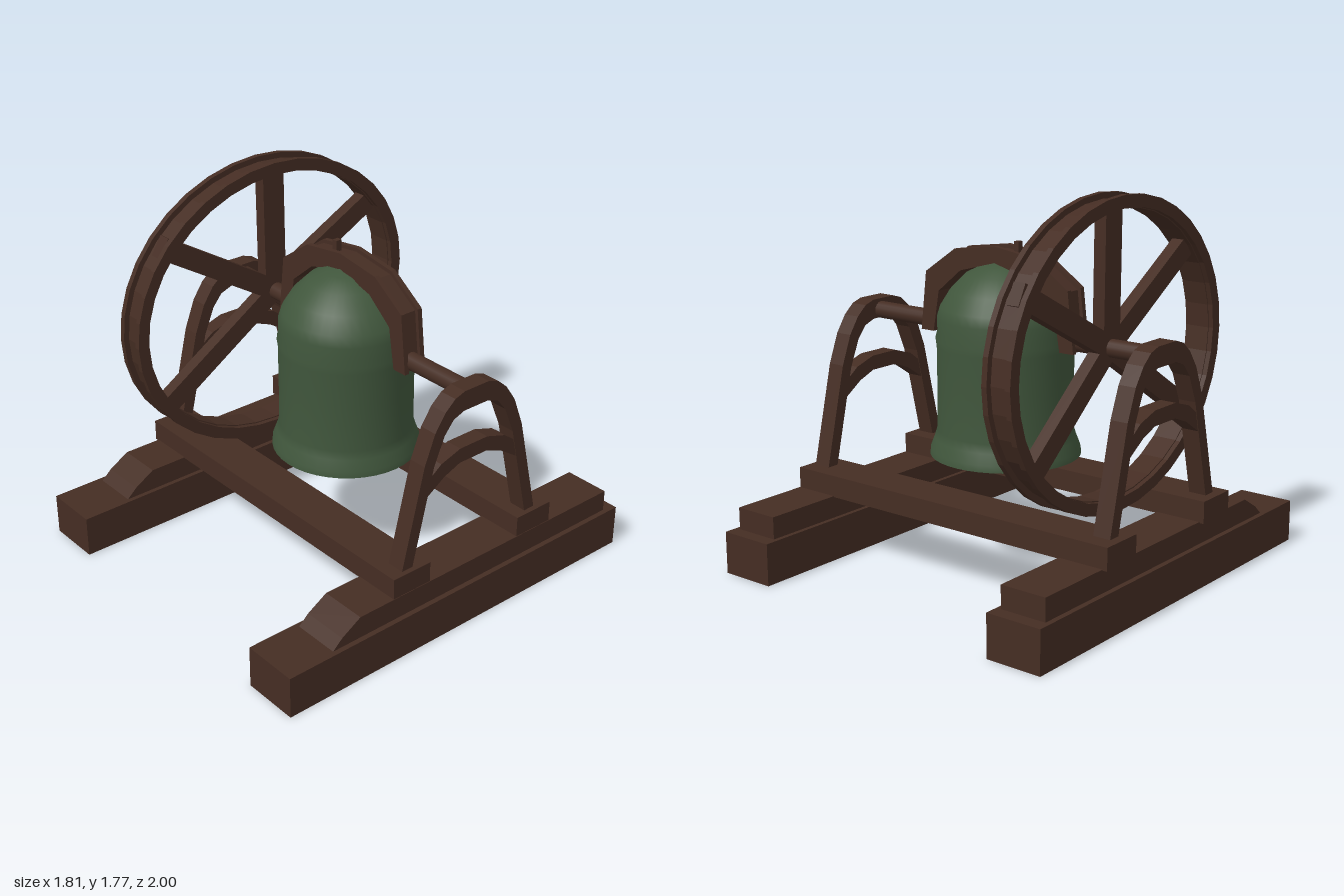
import * as THREE from 'three';

const brown = new THREE.MeshStandardMaterial({ color: 0x452d23 });
brown.name = 'dark brown';
const brownOpen = new THREE.MeshStandardMaterial({ color: 0x452d23, side: THREE.DoubleSide });
brownOpen.name = 'dark brown shell';
const green = new THREE.MeshStandardMaterial({ color: 0x40563c, side: THREE.DoubleSide });
green.name = 'bell green';

const AXLE_Y = 1.11, AXLE_Z = -0.08;

function add(parent, name, geo, mat = brown) {
  const mesh = new THREE.Mesh(geo, mat);
  mesh.name = name;
  parent.add(mesh);
  return mesh;
}

// Box given by its limits on each axis
function box(parent, name, [x0, x1], [y0, y1], [z0, z1]) {
  const geo = new THREE.BoxGeometry(x1 - x0, y1 - y0, z1 - z0);
  geo.translate((x0 + x1) / 2, (y0 + y1) / 2, (z0 + z1) / 2);
  return add(parent, name, geo);
}

const shapeOf = pts => new THREE.Shape(pts.map(p => new THREE.Vector2(...p)));

function extrude(shape, depth) {
  const geo = new THREE.ExtrudeGeometry(shape, { depth, bevelEnabled: false });
  return geo.translate(0, 0, -depth / 2);
}

// Extrusion of a (z, y) shape along x, centred on x
function extrudeX(shape, width, x) {
  return extrude(shape, width).rotateY(-Math.PI / 2).translate(x, 0, 0);
}

// Arched band from the half-profiles of its outer and inner edges, listed bottom to top
function band(outer, inner, c) {
  const right = s => s.map(([w, y]) => [c + w, y]);
  const left = s => s.map(([w, y]) => [c - w, y]).reverse();
  const out = [...right(outer), ...left(outer)];
  const inn = [...right(inner), ...left(inner)].reverse();
  return shapeOf([...out, ...inn]);
}

function ellipseRing(rz, ry, iz, iy) {
  const ring = (a, b) => Array.from({ length: 36 }, (_, i) => {
    const t = i * Math.PI / 18;
    return new THREE.Vector2(-0.05 + a * Math.cos(t), 1.075 + b * Math.sin(t));
  });
  const shape = new THREE.Shape(ring(rz, ry));
  shape.holes.push(new THREE.Path(ring(iz, iy)));
  return shape;
}

function makeBase(root) {
  const base = new THREE.Group();
  base.name = 'base';
  root.add(base);
  for (const s of [-1, 1]) {
    // Ground rail, hollow and open underneath
    const rail = new THREE.BoxGeometry(0.272, 0.2, 2).translate(s * 0.771, 0.1, 0);
    const idx = Array.from(rail.index.array);
    idx.splice(18, 6);
    rail.setIndex(idx);
    rail.clearGroups();
    add(base, 'groundRail', rail, brownOpen);
    // Plank with a sloped front end
    const plank = shapeOf([[0.75, 0.2], [0.7, 0.245], [0.6, 0.305], [-0.935, 0.305], [-0.935, 0.2]]);
    add(base, 'railPlank', extrudeX(plank, 0.225, s * 0.77));
  }
  box(base, 'frontCrossBeam', [-0.905, 0.88], [0.3, 0.404], [0.2, 0.41]);
  box(base, 'backCrossBeam', [-0.905, 0.88], [0.3, 0.404], [-0.548, -0.337]);
}

function makeSupports(root) {
  const c = -0.062;
  const arch = band(
    [[0.405, 0.4], [0.29, 0.88], [0.235, 1.02], [0.18, 1.1], [0.125, 1.147], [0.07, 1.165]],
    [[0.345, 0.4], [0.235, 0.86], [0.18, 0.99], [0.13, 1.05], [0.07, 1.072]], c);
  const brace = band(
    [[0.285, 0.785], [0.19, 0.855], [0.08, 0.89]],
    [[0.3, 0.7], [0.17, 0.785], [0.08, 0.82]], c);
  for (const x of [-0.818, 0.812]) {
    const support = new THREE.Group();
    support.name = x < 0 ? 'rightSupport' : 'leftSupport';
    add(support, 'arch', extrudeX(arch, 0.086, x));
    add(support, 'archBrace', extrudeX(brace, 0.08, x));
    root.add(support);
  }
}

function makeWheel(root) {
  const wheel = new THREE.Group();
  wheel.name = 'ropeWheel';
  root.add(wheel);
  // Grooved rim: two flanges around a lower core
  for (const x of [-0.618, -0.498]) {
    add(wheel, 'rimFlange', extrudeX(ellipseRing(0.792, 0.7, 0.735, 0.643), 0.027, x));
  }
  add(wheel, 'rimCore', extrudeX(ellipseRing(0.765, 0.673, 0.73, 0.638), 0.1, -0.558));
  // Spokes from the axle to the rim, as (z, y) ends
  const ends = [[-0.075, 1.72], [0.55, 1.5], [0.58, 0.69], [-0.63, 0.65], [-0.71, 1.44]];
  ends.forEach(([z, y], i) => {
    const dz = z - AXLE_Z, dy = y - AXLE_Y;
    const spoke = add(wheel, 'spoke', new THREE.BoxGeometry(0.06, Math.hypot(dz, dy), i ? 0.1 : 0.12));
    spoke.position.set(-0.558, AXLE_Y + dy / 2, AXLE_Z + dz / 2);
    spoke.rotation.x = Math.atan2(dz, dy);
  });
}

function makeYoke(root) {
  const yoke = new THREE.Group();
  yoke.name = 'yoke';
  root.add(yoke);
  const inner = [[0.365, 1.066], [0.332, 1.26], [0.2, 1.37], [0, 1.425]];
  const side = band([[0.44, 1.066], [0.408, 1.345], [0.233, 1.467], [0, 1.5]], inner, 0.015);
  const web = band([[0.422, 1.066], [0.392, 1.335], [0.228, 1.45], [0, 1.482]], inner, 0.015);
  for (const z of [-0.128, -0.032]) {
    add(yoke, 'yokeSide', extrude(side, 0.024).translate(0, 0, z));
  }
  add(yoke, 'yokeWeb', extrude(web, 0.08).translate(0, 0, AXLE_Z));
  box(yoke, 'yokePeg', [-0.083, -0.058], [1.45, 1.525], [-0.09, -0.06]);
  // Axle stubs on both sides of the yoke
  for (const [x0, x1] of [[-0.84, -0.385], [0.415, 0.83]]) {
    const axle = new THREE.CylinderGeometry(0.041, 0.041, x1 - x0, 16).rotateZ(Math.PI / 2);
    add(yoke, 'axle', axle).position.set((x0 + x1) / 2, AXLE_Y, AXLE_Z);
  }
}

function makeBell(root) {
  const profile = [
    [0.35, 0.53], [0.347, 0.56], [0.328, 0.61], [0.316, 0.65], [0.314, 0.85], [0.315, 1.04],
    [0.32, 1.075], [0.311, 1.11], [0.313, 1.17], [0.298, 1.22], [0.252, 1.295],
    [0.18, 1.368], [0.095, 1.41], [0, 1.425],
  ].map(p => new THREE.Vector2(...p));
  add(root, 'bell', new THREE.LatheGeometry(profile, 40), green).position.set(0.015, 0, -0.06);
}

export function createModel() {
  const root = new THREE.Group();
  root.name = 'mountedBell';
  makeBase(root);
  makeSupports(root);
  makeWheel(root);
  makeYoke(root);
  makeBell(root);
  return root;
}
